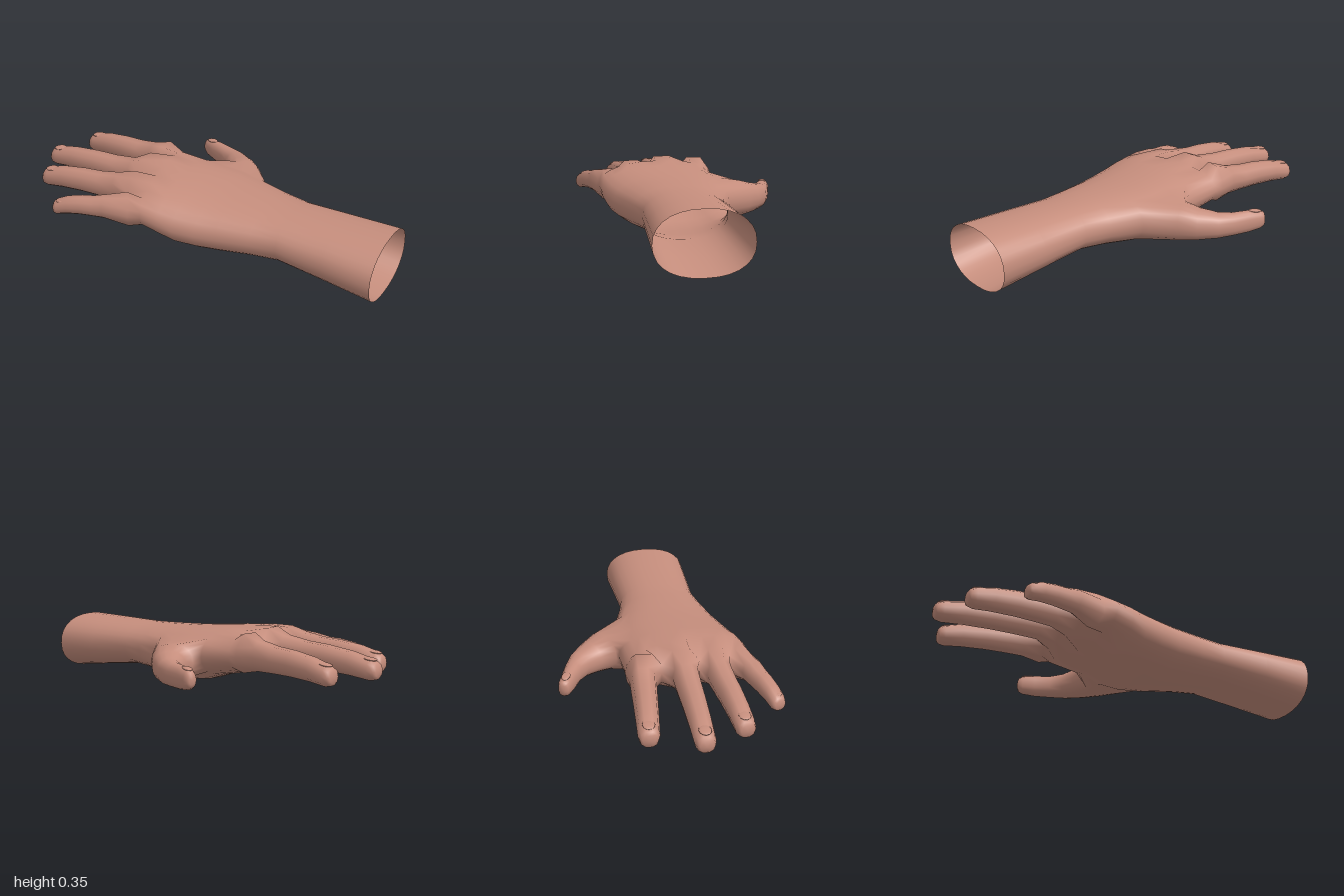
import * as THREE from 'three';

const N = 28; // points around the arm and palm

export function createModel() {
  const skin = new THREE.MeshStandardMaterial({ color: 0xc68e7d, side: THREE.DoubleSide });
  skin.name = 'skin';
  const group = new THREE.Group();
  group.name = 'hand';

  const pos = [], index = [];
  const add = (x, y, z) => pos.push(x, y, z) / 3 - 1;
  const quad = (a0, a1, b0, b1) => index.push(a0, b0, a1, a1, b0, b1);
  const bridge = (a, b, skip = () => false) => a.forEach((p, i) => {
    const j = (i + 1) % a.length;
    if (!skip(i)) quad(p, a[j], b[i], b[j]);
  });
  const pow = (v, e) => Math.sign(v) * Math.abs(v) ** e;

  // Arm and palm sections: x, z min, z max, y min, y max, slant
  const sections = [
    [1, -0.14, 0.32, 0, 0.305, 0],
    [0.75, -0.13, 0.308, 0.035, 0.303, 0],
    [0.5, -0.12, 0.296, 0.067, 0.30, 0],
    [0.36, -0.15, 0.32, 0.06, 0.305, 0],
    [0.2, -0.2, 0.355, 0.045, 0.313, 0],
    [0.09, -0.235, 0.385, 0.043, 0.32, 0],
    [-0.02, -0.235, 0.41, 0.05, 0.33, 0],
    [-0.12, -0.212, 0.425, 0.085, 0.338, 0.02],
    [-0.25, -0.205, 0.432, 0.115, 0.347, 0.06],
  ];
  const rings = sections.map(([x, z0, z1, y0, y1, slant]) =>
    Array.from({ length: N }, (_, i) => {
      const a = Math.PI - (i / N) * Math.PI * 2;
      const u = pow(Math.cos(a), 0.88), v = pow(Math.sin(a), 0.88);
      return add(x + slant * u, (y0 + y1) / 2 + v * (y1 - y0) / 2, (z0 + z1) / 2 + u * (z1 - z0) / 2);
    }));

  // Knuckle ring, split by the webs between the fingers: x, z, y min, y max
  const webs = [
    [-0.36, -0.2, 0.19, 0.28],
    [-0.385, -0.03, 0.185, 0.285],
    [-0.375, 0.16, 0.185, 0.285],
    [-0.335, 0.32, 0.18, 0.275],
    [-0.26, 0.432, 0.18, 0.255],
  ];
  const bump = [[0.345, 0.15], [0.355, 0.15], [0.338, 0.145], [0.302, 0.14]];
  const knuckle = new Array(N);
  for (let j = 0; j <= 12; j++) {
    const f = Math.min(3, Math.floor(j / 3)), k = j - f * 3;
    const [a, b] = [webs[f], webs[f + 1]];
    const m = k % 3 ? (k === 1 ? 0.27 : 0.73) : k / 3;
    const at = (c) => a[c] + (b[c] - a[c]) * m;
    const mid = k % 3 !== 0;
    knuckle[j + 1] = add(at(0), mid ? bump[f][0] : at(3), at(1));
    knuckle[27 - j] = add(at(0), mid ? bump[f][1] : at(2), at(1));
  }
  const mids = webs.map(([x, z, y0, y1], i) =>
    add(x, (y0 + y1) / 2, z + (i === 0 ? -0.008 : i === 4 ? 0.008 : 0)));
  knuckle[0] = mids[0];
  knuckle[14] = mids[4];
  rings.push(knuckle);

  // Skin of arm and palm, leaving an opening for the thumb
  const A = 4, B = 7, H = 3;
  for (let s = 0; s + 1 < rings.length; s++) {
    const open = s >= A && s < B;
    bridge(rings[s], rings[s + 1], (i) => open && (i < H || i >= N - H));
  }

  // Grows a finger from a ring; stations are x, y, z, half width, half height
  function branch(base, stations) {
    let last = base;
    const n = base.length;
    stations.forEach(([x, y, z, hw, hh], s) => {
      const p = stations[Math.max(0, s - 1)], q = stations[Math.min(stations.length - 1, s + 1)];
      const len = Math.hypot(q[0] - p[0], q[2] - p[2]);
      const dx = (q[0] - p[0]) / len, dz = (q[2] - p[2]) / len;
      const ring = base.map((_, i) => {
        const a = (i / n) * Math.PI * 2;
        const c = pow(Math.cos(a), 0.9) * hw, h = pow(Math.sin(a), 0.9) * hh;
        return add(x - dz * c, y + h, z + dx * c);
      });
      bridge(last, ring);
      last = ring;
    });
    const [x, y, z] = stations[stations.length - 1];
    const tip = add(x - 0.004, y, z);
    last.forEach((p, i) => index.push(p, tip, last[(i + 1) % n]));
  }

  // Fingers: root x, z, tip x, z, half width at root and tip, y drop
  const fingers = [
    [-0.46, -0.133, -0.91, -0.172, 0.066, 0.05, 0.004],
    [-0.46, 0.077, -1, 0.07, 0.067, 0.05, 0],
    [-0.45, 0.245, -0.9, 0.278, 0.064, 0.049, 0.004],
    [-0.41, 0.418, -0.68, 0.49, 0.054, 0.039, 0.022],
  ];
  // Along the finger: fraction, y centre, half height, width factor
  const profile = [
    [0, 0.247, 0.077, 1], [0.22, 0.24, 0.067, 1], [0.45, 0.237, 0.064, 1],
    [0.72, 0.226, 0.059, 1], [0.92, 0.209, 0.052, 1], [0.98, 0.205, 0.042, 0.86], [1, 0.204, 0.028, 0.6],
  ];
  const nails = [];
  fingers.forEach(([x0, z0, x1, z1, w0, w1, drop], f) => {
    const top = [1, 2, 3, 4].map((k) => knuckle[3 * f + k]);
    const bottom = [4, 3, 2, 1].map((k) => knuckle[N - 3 * f - k]);
    const slim = f === 3 ? 0.8 : 1;
    branch([mids[f], ...top, mids[f + 1], ...bottom], profile.map(([t, y, h, w]) =>
      [x0 + (x1 - x0) * t, y - drop, z0 + (z1 - z0) * t, (w0 + (w1 - w0) * t) * w, h * slim]));
    nails.push([x1 + 0.05, 0.209 - drop + 0.05 * slim, z1 - (z1 - z0) * 0.1, w1 * 0.6, Math.atan2(z1 - z0, x0 - x1)]);
  });

  // Thumb, from the rim of its opening
  const rim = [];
  for (let i = 0; i < H; i++) rim.push(rings[A][i]);
  for (let s = A; s <= B; s++) rim.push(rings[s][H]);
  for (let i = H - 1; i > -H; i--) rim.push(rings[B][(i + N) % N]);
  for (let s = B; s >= A; s--) rim.push(rings[s][N - H]);
  for (let i = H - 1; i > 0; i--) rim.push(rings[A][N - i]);
  branch(rim, [
    [0.0, 0.175, -0.275, 0.108, 0.095],
    [-0.045, 0.168, -0.345, 0.086, 0.08],
    [-0.11, 0.163, -0.412, 0.062, 0.067],
    [-0.18, 0.161, -0.45, 0.047, 0.06],
    [-0.26, 0.162, -0.479, 0.039, 0.058],
    [-0.32, 0.164, -0.502, 0.034, 0.05],
    [-0.342, 0.165, -0.511, 0.026, 0.038],
    [-0.347, 0.165, -0.513, 0.014, 0.022],
  ]);
  nails.push([-0.3, 0.214, -0.493, 0.022, -0.37]);

  const geometry = new THREE.BufferGeometry();
  geometry.setAttribute('position', new THREE.Float32BufferAttribute(pos, 3));
  geometry.setIndex(index);
  geometry.computeVertexNormals();
  const body = new THREE.Mesh(geometry, skin);
  body.name = 'armPalmAndFingers';
  group.add(body);

  // Fingernails, shallow domes on the tips
  nails.forEach(([x, y, z, w, turn]) => {
    const nail = new THREE.Mesh(new THREE.SphereGeometry(1, 12, 8), skin);
    nail.name = 'fingernail';
    nail.position.set(x, y, z);
    nail.scale.set(0.036, 0.007, w);
    nail.rotation.set(0, turn, 0.12);
    group.add(nail);
  });
  return group;
}
